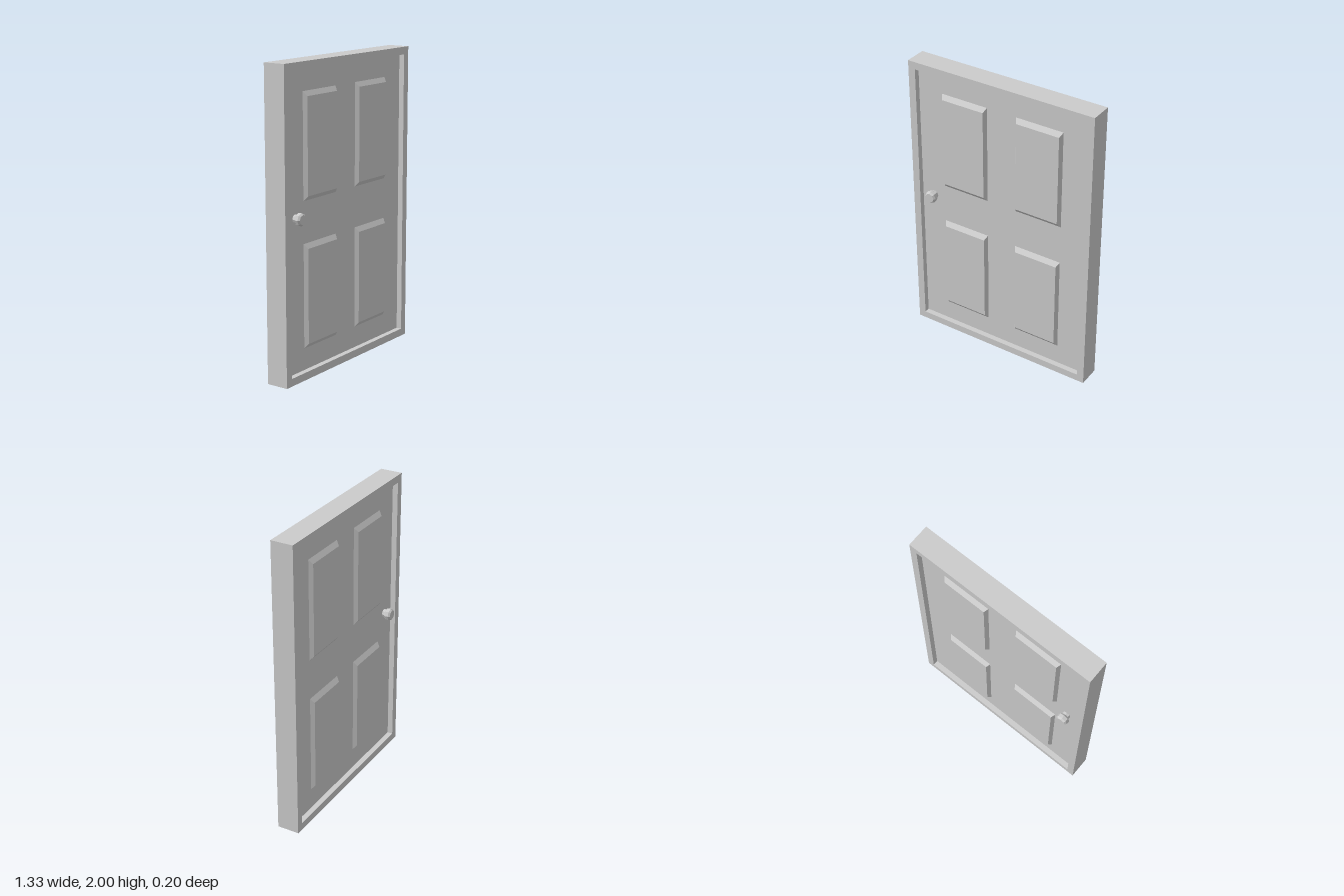
import * as THREE from 'three';

const W = 0.665, H = 2, D = 0.15, RIM = 0.05; // half width, height, depth, frame rim
const FACE = 0.038; // z of the door leaf surface

const material = new THREE.MeshStandardMaterial({ color: 0xcccccc, flatShading: true });

function part(name, geometry, x = 0, y = 0, z = 0) {
  const mesh = new THREE.Mesh(geometry, material);
  mesh.name = name;
  mesh.position.set(x, y, z);
  return mesh;
}

function rectangle(path, x0, y0, x1, y1) {
  path.moveTo(x0, y0).lineTo(x1, y0).lineTo(x1, y1).lineTo(x0, y1).closePath();
  return path;
}

// Raised panel: a box whose front face is drawn in to make bevels
function panelGeometry(width, height, depth, insetX, insetY) {
  const geo = new THREE.BoxGeometry(width, height, depth).translate(0, 0, depth / 2);
  const pos = geo.attributes.position;
  for (let i = 0; i < pos.count; i++) {
    if (pos.getZ(i) < depth / 2) continue;
    pos.setX(i, pos.getX(i) - Math.sign(pos.getX(i)) * insetX);
    pos.setY(i, pos.getY(i) - Math.sign(pos.getY(i)) * insetY);
  }
  geo.computeVertexNormals();
  return geo;
}

// One side of the door: four panels and a knob, facing +z
function doorSide(name, knobX) {
  const side = new THREE.Group();
  side.name = name;
  const panel = panelGeometry(0.334, 0.676, 0.024, 0.016, 0.03);
  for (const x of [-0.272, 0.272]) {
    for (const y of [0.53, 1.477]) side.add(part('panel', panel, x, y, FACE));
  }
  // Eight-sided knob with a narrower neck and a chamfered end
  const profile = [[0.028, 0], [0.028, 0.016], [0.041, 0.028], [0.041, 0.05], [0.032, 0.062], [0, 0.062]]
    .map(([r, z]) => new THREE.Vector2(r, z));
  const knob = new THREE.LatheGeometry(profile, 8).rotateX(Math.PI / 2);
  side.add(part('knob', knob, knobX, 1.045, FACE));
  return side;
}

export function createModel() {
  const door = new THREE.Group();
  door.name = 'door';

  // Frame around the opening
  const outline = rectangle(new THREE.Shape(), -W, 0, W, H);
  outline.holes.push(rectangle(new THREE.Path(), -W + RIM, RIM, W - RIM, H - RIM));
  const frame = new THREE.ExtrudeGeometry(outline, { depth: D, bevelEnabled: false });
  door.add(part('frame', frame, 0, 0, -D / 2));

  // Leaf set back from both faces of the frame
  const leaf = new THREE.BoxGeometry(2 * (W - RIM), H - 2 * RIM, 2 * FACE);
  door.add(part('leaf', leaf, 0, H / 2, 0));

  // The back repeats the front, with its knob opposite the front knob
  const back = doorSide('backSide', 0.523);
  back.rotation.y = Math.PI;
  door.add(doorSide('frontSide', -0.523), back);
  return door;
}
